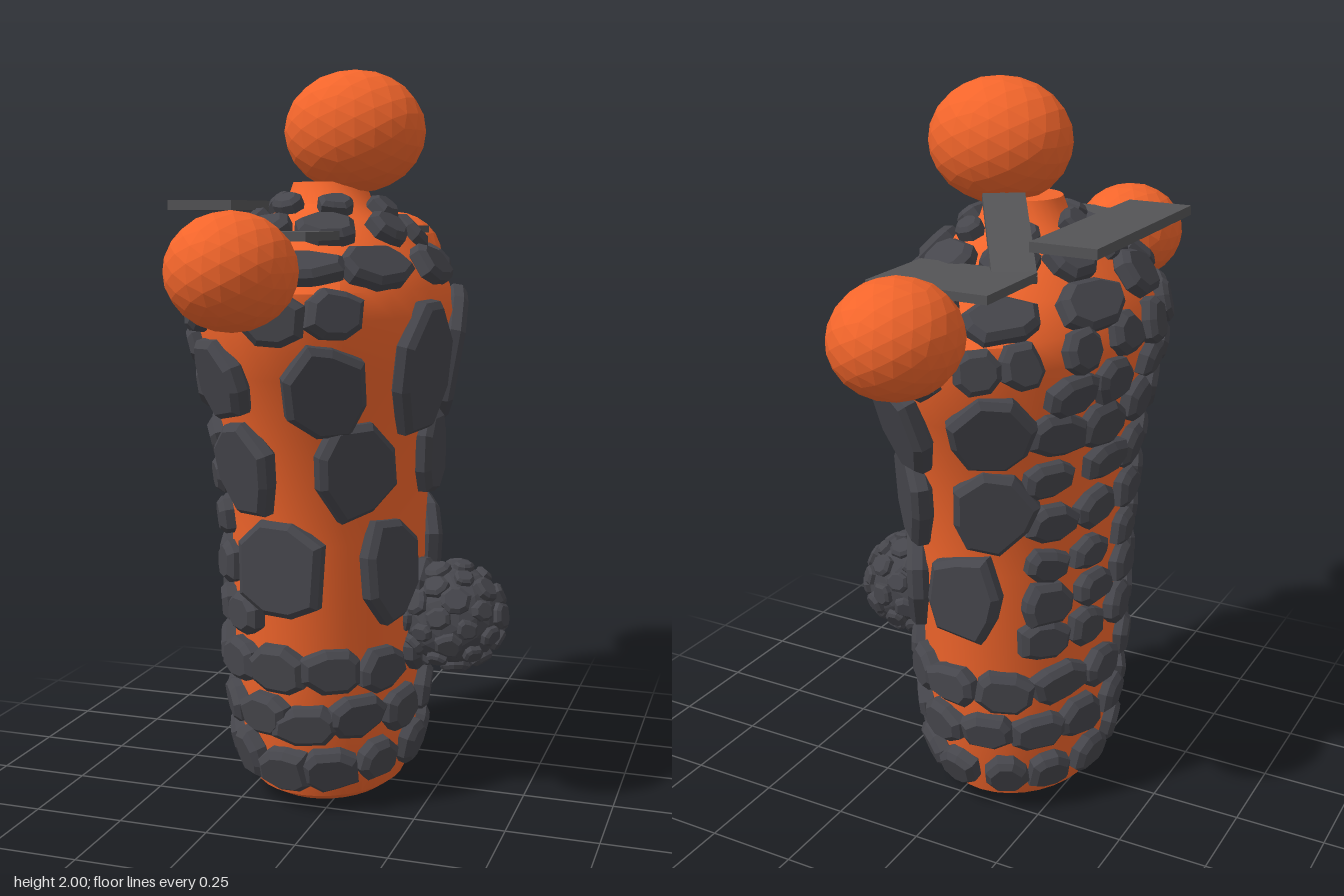
import * as THREE from 'three';
import { toCreasedNormals } from 'three/addons/utils/BufferGeometryUtils.js';

const lava = new THREE.MeshStandardMaterial({ color: 0xf2652b, side: THREE.DoubleSide });
const lavaFlat = new THREE.MeshStandardMaterial({ color: 0xf2652b, flatShading: true });
const rock = new THREE.MeshStandardMaterial({ color: 0x46464c, flatShading: true });
const slabRock = new THREE.MeshStandardMaterial({ color: 0x545456, flatShading: true });

let seed = 7;
const rand = () => (seed = (seed * 16807) % 2147483647) / 2147483647;
const jitter = (a) => (rand() - 0.5) * 2 * a;

// Elliptical body sections: y, half width (x), half depth (z)
const CX = -0.07;
const SECTIONS = [
  [0, 0.17, 0.2], [0.03, 0.21, 0.255], [0.15, 0.24, 0.3], [0.4, 0.26, 0.34], [0.75, 0.265, 0.35],
  [1.0, 0.275, 0.4], [1.2, 0.305, 0.47], [1.35, 0.33, 0.54], [1.42, 0.315, 0.53], [1.5, 0.26, 0.41],
  [1.6, 0.17, 0.22], [1.64, 0.12, 0.13], [1.7, 0.1, 0.1],
];

function section(y) {
  let i = 0;
  while (i < SECTIONS.length - 2 && y > SECTIONS[i + 1][0]) i++;
  const [a, b] = [SECTIONS[i], SECTIONS[i + 1]];
  const t = THREE.MathUtils.clamp((y - a[0]) / (b[0] - a[0]), 0, 1);
  return [a[1] + (b[1] - a[1]) * t, a[2] + (b[2] - a[2]) * t];
}

// Point on the body; angle 0 is the left side (+x), 90 the front (+z)
function bodyPoint(deg, y) {
  const [hx, hz] = section(y);
  const a = THREE.MathUtils.degToRad(deg);
  return new THREE.Vector3(CX + hx * Math.cos(a), y, hz * Math.sin(a));
}

function makeCore() {
  const points = [new THREE.Vector2(0, 0)];
  SECTIONS.forEach(([y]) => points.push(new THREE.Vector2(1, y)));
  points.push(new THREE.Vector2(0, 1.7));
  const geo = new THREE.LatheGeometry(points, 32);
  const p = geo.attributes.position;
  for (let i = 0; i < p.count; i++) {
    const [hx, hz] = section(p.getY(i));
    p.setX(i, CX + p.getX(i) * hx);
    p.setZ(i, p.getZ(i) * hz);
  }
  return new THREE.Mesh(toCreasedNormals(geo, 0.7), lava);
}

// Irregular bevelled stone plate, facing +z with its outer face at z = out
function plateGeometry(w, h, depth, out) {
  const bevel = Math.min(0.016, w * 0.12);
  const shape = new THREE.Shape();
  const n = 8;
  for (let i = 0; i < n; i++) {
    const a = ((i + 0.5) / n) * Math.PI * 2 + jitter(0.2);
    const clip = (v) => THREE.MathUtils.clamp(v * 1.2, -1, 1) * (0.94 + jitter(0.1));
    const x = clip(Math.cos(a)) * (w / 2 - bevel);
    const y = clip(Math.sin(a)) * (h / 2 - bevel);
    if (i) shape.lineTo(x, y);
    else shape.moveTo(x, y);
  }
  shape.closePath();
  const geo = new THREE.ExtrudeGeometry(shape, {
    depth: depth - 2 * bevel, bevelEnabled: true, bevelSize: bevel, bevelThickness: bevel, bevelSegments: 1,
  });
  return geo.translate(0, 0, out - depth + bevel);
}

function orient(mesh, position, right, up) {
  const normal = right.clone().cross(up).normalize();
  const trueUp = normal.clone().cross(right.normalize());
  mesh.setRotationFromMatrix(new THREE.Matrix4().makeBasis(right, trueUp, normal));
  mesh.position.copy(position);
  mesh.rotateZ(jitter(0.12));
  mesh.rotateX(jitter(0.05));
  mesh.rotateY(jitter(0.05));
}

function addPlate(parent, deg, y, w, h) {
  const plate = new THREE.Mesh(plateGeometry(w, h, 0.06, 0.036), rock);
  plate.name = 'stonePlate';
  const right = bodyPoint(deg - 2, y).sub(bodyPoint(deg + 2, y));
  const up = bodyPoint(deg, y + 0.02).sub(bodyPoint(deg, y - 0.02));
  orient(plate, bodyPoint(deg, y), right, up);
  parent.add(plate);
}

function makePlates() {
  const plates = new THREE.Group();
  // Stone rows: y, plate width, plate height, count, first angle, last angle
  const rows = [
    [0.13, 0.14, 0.13, 12, 8, 338], [0.27, 0.16, 0.115, 12, 20, 350], [0.41, 0.16, 0.125, 12, 5, 335],
    [0.55, 0.14, 0.11, 5, 122, 225], [0.67, 0.14, 0.11, 4, 138, 222], [0.79, 0.14, 0.1, 4, 142, 225],
    [0.91, 0.15, 0.11, 4, 145, 220], [1.03, 0.16, 0.11, 4, 142, 220], [1.16, 0.17, 0.13, 4, 148, 220],
    [1.28, 0.16, 0.11, 4, 145, 215], [1.38, 0.12, 0.12, 8, 110, 250],
    [1.48, 0.22, 0.13, 9, 0, 320], [1.565, 0.15, 0.12, 8, 22, 337], [1.625, 0.1, 0.08, 6, 0, 300],
  ];
  for (const [y, w, h, n, from, to] of rows) {
    for (let i = 0; i < n; i++) {
      const deg = from + ((to - from) * i) / (n - 1) + jitter(3);
      addPlate(plates, deg, y + jitter(0.012), w * (1 + jitter(0.12)), h * (1 + jitter(0.1)));
    }
  }
  // Large plates on the front, left and back: angle, y, width, height
  const large = [
    [94, 0.69, 0.24, 0.28], [32, 0.67, 0.22, 0.3], [-38, 0.66, 0.27, 0.3], [-92, 0.69, 0.22, 0.26],
    [0, 0.58, 0.18, 0.18], [112, 0.96, 0.22, 0.26], [52, 0.96, 0.24, 0.28], [-4, 0.96, 0.22, 0.24],
    [-56, 0.95, 0.23, 0.28], [-112, 0.96, 0.22, 0.25], [118, 1.2, 0.22, 0.21], [66, 1.17, 0.21, 0.27],
    [16, 1.21, 0.28, 0.38], [-24, 1.22, 0.28, 0.38], [-66, 1.18, 0.22, 0.3], [-114, 1.19, 0.22, 0.22],
    [84, 1.36, 0.15, 0.13], [60, 1.37, 0.15, 0.13], [-62, 1.37, 0.16, 0.13], [-86, 1.36, 0.15, 0.13],
  ];
  large.forEach((p) => addPlate(plates, ...p));
  return plates;
}

// Round fist of small stones on the left side
function makeFist() {
  const fist = new THREE.Group();
  const r = 0.142;
  fist.add(new THREE.Mesh(new THREE.IcosahedronGeometry(r, 2), rock));
  const n = 48;
  for (let i = 0; i < n; i++) {
    const y = 1 - (2 * (i + 0.5)) / n;
    const a = i * 2.39996;
    const s = Math.sqrt(1 - y * y);
    const dir = new THREE.Vector3(s * Math.cos(a), y, s * Math.sin(a));
    const right = new THREE.Vector3(0, 1, 0).cross(dir).normalize();
    const up = dir.clone().cross(right);
    const size = 0.068 + jitter(0.014);
    const stone = new THREE.Mesh(plateGeometry(size, size * (0.9 + jitter(0.15)), 0.04, 0.014), rock);
    stone.name = 'fistStone';
    orient(stone, dir.multiplyScalar(r), right, up);
    fist.add(stone);
  }
  fist.position.set(0.29, 0.505, 0);
  return fist;
}

export function createModel() {
  const model = new THREE.Group();
  const add = (object, name) => {
    object.name = name;
    model.add(object);
    return object;
  };

  add(makeCore(), 'moltenBody');
  add(makePlates(), 'stonePlates');
  add(makeFist(), 'stoneFist');

  // Molten head and shoulder balls
  const ball = (name, x, y, z, rx, ry, rz) => {
    const mesh = add(new THREE.Mesh(new THREE.IcosahedronGeometry(1, 3), lavaFlat), name);
    mesh.position.set(x, y, z);
    mesh.scale.set(rx, ry, rz);
  };
  ball('head', 0.003, 1.835, 0, 0.195, 0.165, 0.174);
  ball('frontShoulderBall', -0.085, 1.48, 0.672, 0.157, 0.143, 0.173);
  ball('backShoulderBall', -0.085, 1.48, -0.672, 0.157, 0.143, 0.173);

  // Flat slabs resting around the neck
  const slab = (name, x, y, z, w, h, d) => {
    const mesh = add(new THREE.Mesh(new THREE.BoxGeometry(w, h, d), slabRock), name);
    mesh.position.set(x, y, z);
    return mesh;
  };
  slab('sideSlab', -0.328, 1.637, -0.003, 0.18, 0.026, 0.61);
  slab('frontSlab', -0.102, 1.56, 0.437, 0.327, 0.022, 0.255);
  slab('backSlab', -0.102, 1.568, -0.443, 0.327, 0.022, 0.255);
  const leaning = slab('leaningSlab', -0.14, 1.635, -0.225, 0.11, 0.022, 0.33);
  leaning.lookAt(-0.14 + 0.15, 1.635 + 0.14, -0.225 + 0.23);

  return model;
}
